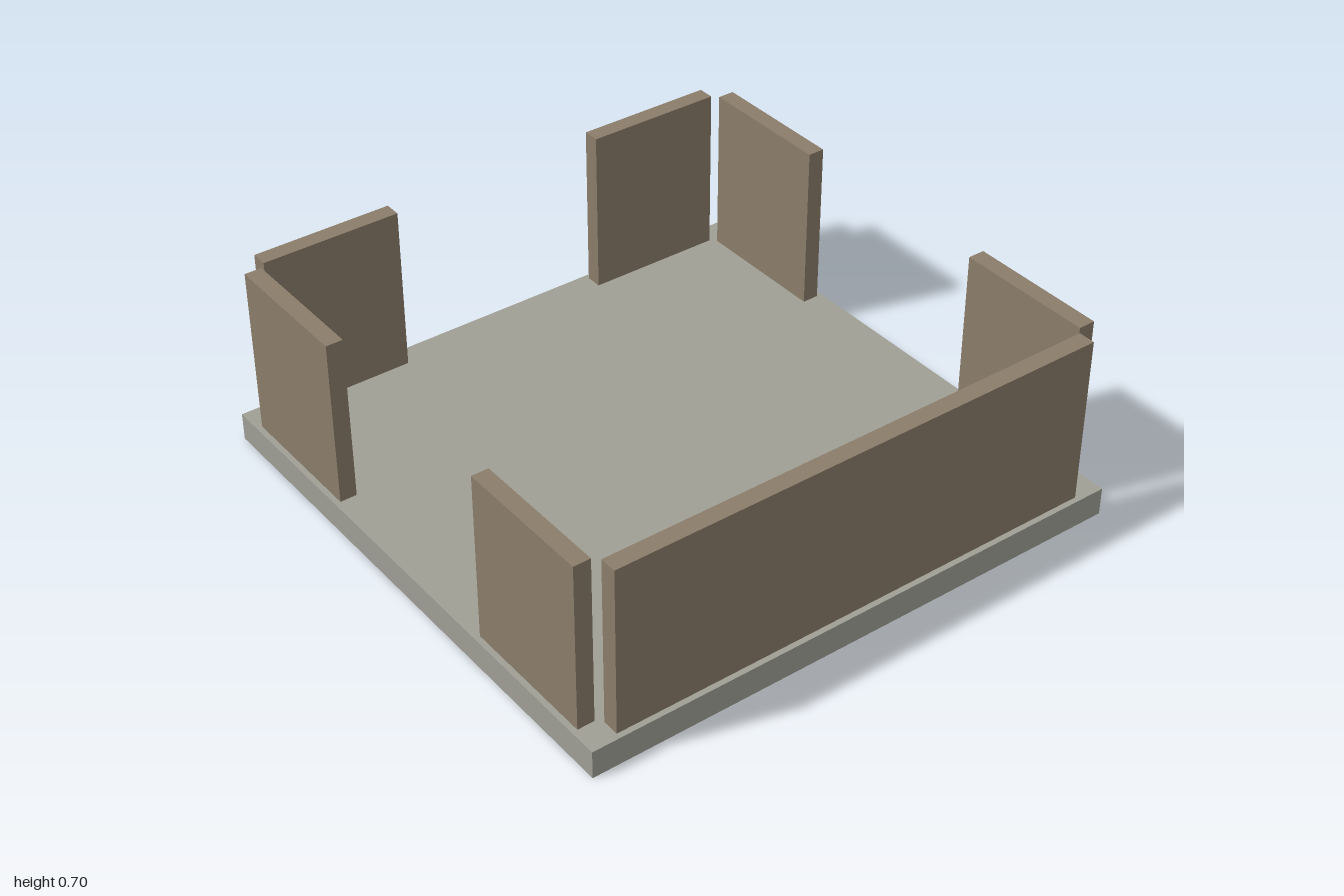
import * as THREE from 'three';

export function createModel() {
  const model = new THREE.Group();
  model.name = 'walledPlatform';

  const stone = new THREE.MeshStandardMaterial({ color: 0x9f9f95 });
  stone.name = 'grey stone';
  const wall = new THREE.MeshStandardMaterial({ color: 0x8b7d6b });
  wall.name = 'brown wall';

  const slabHeight = 0.1, wallHeight = 0.6, thickness = 0.06, offset = 0.95;

  function addBox(name, material, width, height, depth, x, bottom, z) {
    const mesh = new THREE.Mesh(new THREE.BoxGeometry(width, height, depth), material);
    mesh.name = name;
    mesh.position.set(x, bottom + height / 2, z);
    model.add(mesh);
  }

  // Square floor slab
  addBox('floorSlab', stone, 2, slabHeight, 2, 0, 0, 0);

  // Unbroken front wall
  addBox('frontWall', wall, 1.8, wallHeight, thickness, 0, slabHeight, offset);

  // Back and side walls, each split by a wide doorway
  for (const side of [1, -1]) {
    const label = side > 0 ? 'left' : 'right';
    addBox(label + 'BackWall', wall, 0.5, wallHeight, thickness, side * 0.65, slabHeight, -offset);
    addBox(label + 'SideWallFront', wall, thickness, wallHeight, 0.5, side * offset, slabHeight, 0.65);
    addBox(label + 'SideWallRear', wall, thickness, wallHeight, 0.5, side * offset, slabHeight, -0.65);
  }

  return model;
}
